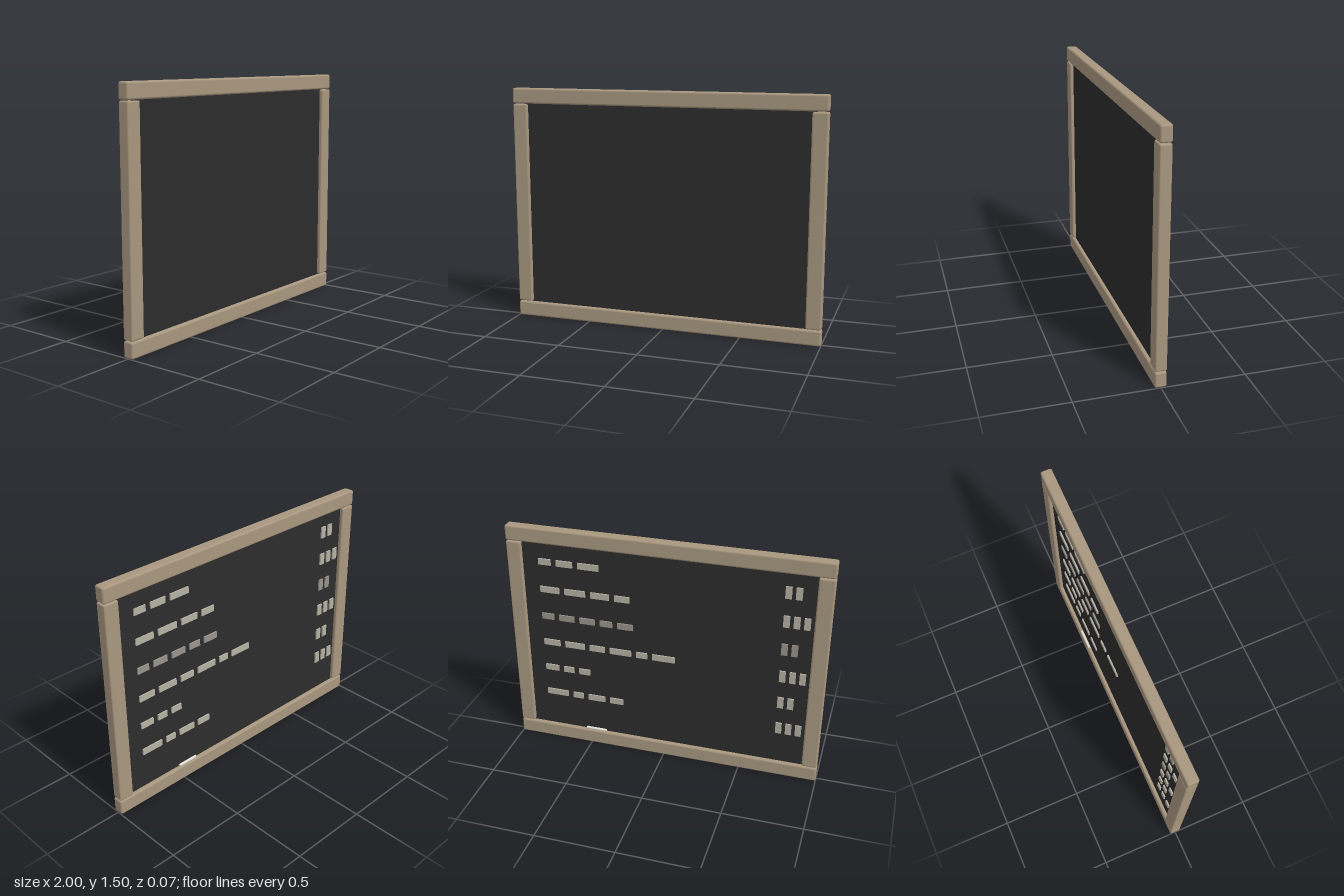
import * as THREE from 'three';
import { RoundedBoxGeometry } from 'three/addons/geometries/RoundedBoxGeometry.js';

const mat = (color) => new THREE.MeshStandardMaterial({ color });

export function createModel() {
  const model = new THREE.Group();
  model.name = 'menuBoard';
  const wood = mat(0xa8977f), slate = mat(0x2c2c2c), chalk = mat(0xb4b1a3);
  const fadedChalk = mat(0x96948a), stickColor = mat(0xe4e1d4);

  const add = (parent, name, geometry, material, x, y, z) => {
    const mesh = new THREE.Mesh(geometry, material);
    mesh.name = name;
    mesh.position.set(x, y, z);
    parent.add(mesh);
    return mesh;
  };

  // Slate panel, recessed on both sides
  add(model, 'slatePanel', new THREE.BoxGeometry(1.86, 1.36, 0.022), slate, 0, 0.75, 0);

  // Frame: two full-width rails, two stiles between them
  const rail = new RoundedBoxGeometry(2, 0.097, 0.07, 2, 0.012);
  const stile = new RoundedBoxGeometry(0.095, 1.298, 0.07, 2, 0.01);
  add(model, 'bottomRail', rail, wood, 0, 0.0485, 0);
  add(model, 'topRail', rail, wood, 0, 1.4515, 0);
  for (const [side, s] of [['left', 1], ['right', -1]])
    add(model, side + 'Stile', stile, wood, s * 0.9515, 0.75, 0);

  // Chalk dashes on the back: widths per row, laid out from +x towards -x
  const rows = [
    [0.08, 0.105, 0.135],
    [0.125, 0.135, 0.12, 0.095],
    [0.08, 0.1, 0.1, 0.08, 0.1],
    [0.11, 0.13, 0.1, 0.14, 0.07, 0.145],
    [0.09, 0.07, 0.075],
    [0.145, 0.07, 0.115, 0.09],
  ];
  const gap = 0.035, z = -0.015;
  rows.forEach((widths, r) => {
    const row = new THREE.Group();
    row.name = 'chalkRow' + (r + 1);
    row.position.y = 1.28 - r * 0.1865;
    model.add(row);
    const color = r === 2 ? fadedChalk : chalk;
    let x = 0.8;
    for (const w of widths) {
      add(row, 'chalkDash', new THREE.BoxGeometry(w, 0.04, 0.01), color, x - w / 2, 0, z);
      x -= w + gap;
    }
    // Upright marks at the far end: two or three in alternate rows
    for (let i = 0; i < 2 + (r % 2); i++)
      add(row, 'chalkTally', new THREE.BoxGeometry(0.038, 0.076, 0.01), color, -0.74 - i * 0.061, 0, z);
  });

  // Stick of chalk resting on the bottom rail
  const stick = add(model, 'chalkStick', new THREE.CylinderGeometry(0.009, 0.009, 0.135, 8),
    stickColor, 0.465, 0.107, -0.022);
  stick.rotation.z = Math.PI / 2;

  return model;
}
